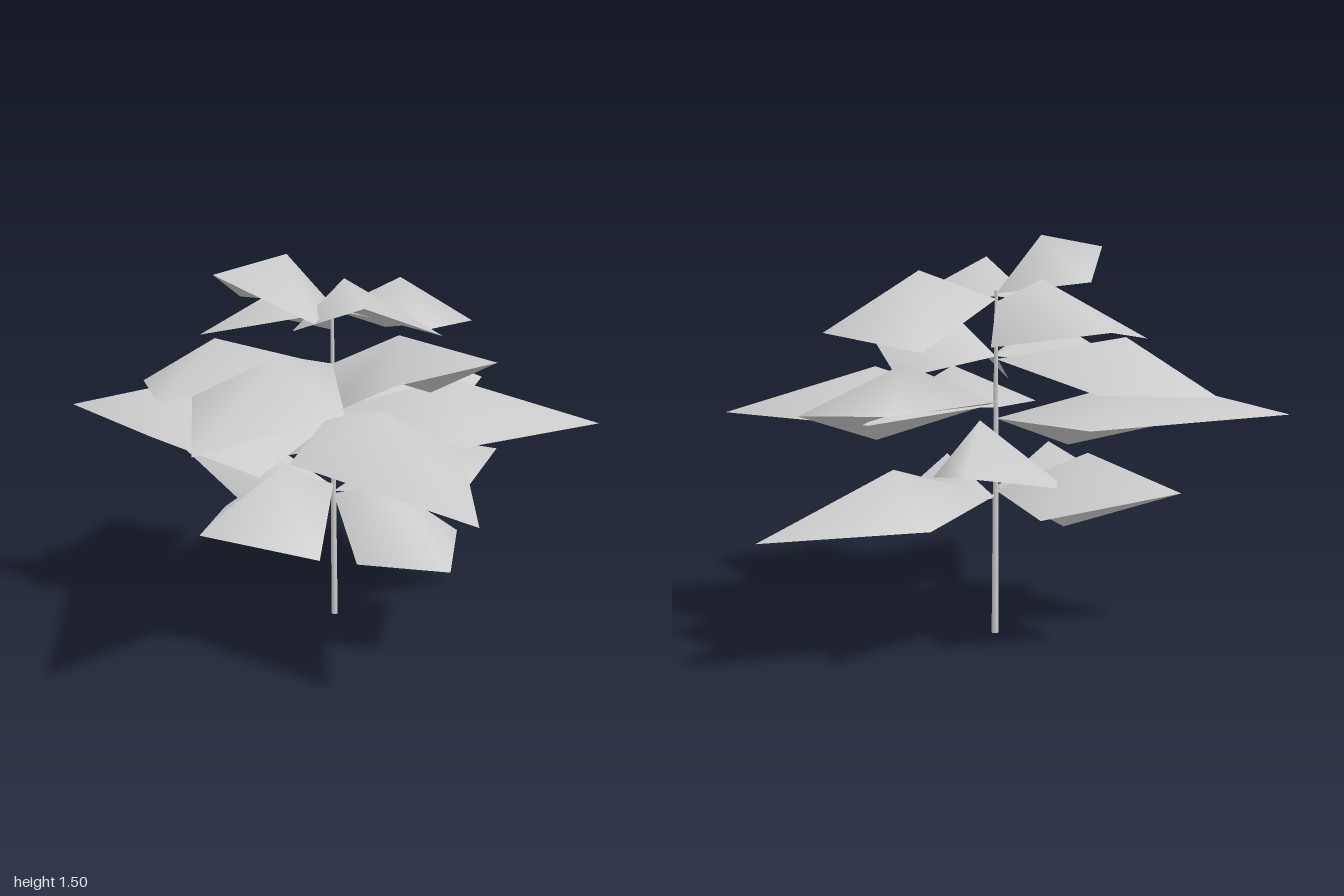
import * as THREE from 'three';

const STEM_X = -0.025, STEM_Z = -0.2;

const foliage = new THREE.MeshStandardMaterial({ color: 0xcccccc, side: THREE.DoubleSide });
foliage.name = 'pale grey';

// A leaf is a shallow tent: a raised midrib point fanned out to its stem joint and outer corners.
function leaf(name, stemY, mid, ...corners) {
  const angle = p => Math.atan2(p[0] - mid[0], p[2] - mid[2]);
  const rim = [[STEM_X, stemY, STEM_Z], ...corners].sort((a, b) => angle(a) - angle(b));
  const index = [];
  rim.forEach((_, i) => index.push(0, i + 1, ((i + 1) % rim.length) + 1));
  const geometry = new THREE.BufferGeometry();
  geometry.setAttribute('position', new THREE.Float32BufferAttribute([mid, ...rim].flat(), 3));
  geometry.setIndex(index);
  geometry.computeVertexNormals();
  const mesh = new THREE.Mesh(geometry, foliage);
  mesh.name = name;
  return mesh;
}

export function createModel() {
  const model = new THREE.Group();
  model.name = 'leafyPlant';

  // Thin upright stem
  const stem = new THREE.Mesh(new THREE.CylinderGeometry(0.007, 0.013, 1.29, 8), foliage);
  stem.name = 'stem';
  stem.position.set(STEM_X, 0.645, STEM_Z);
  model.add(stem);

  // Crown leaves
  const crown = new THREE.Group();
  crown.name = 'crownLeaves';
  crown.add(
    leaf('crownLeafLeft', 1.26, [0.28, 1.365, -0.16], [0.26, 1.19, 0.05], [0.65, 1.155, -0.14], [0.46, 1.1, -0.48]),
    leaf('crownLeafBack', 1.25, [-0.01, 1.335, -0.5], [0.21, 1.11, -0.51], [-0.01, 1.17, -0.87], [-0.34, 1.13, -0.67]),
    leaf('crownLeafRight', 1.28, [-0.26, 1.495, -0.155], [-0.33, 1.32, -0.37], [-0.61, 1.455, -0.09], [-0.39, 1.3, 0.2]),
    leaf('crownLeafFront', 1.27, [-0.13, 1.415, 0.02], [0.06, 1.23, 0.35], [-0.3, 1.365, 0.36], [-0.34, 1.24, -0.01]));

  // Upper leaves
  const upper = new THREE.Group();
  upper.name = 'upperLeaves';
  upper.add(
    leaf('upperLeafFront', 1.05, [-0.085, 1.24, 0.28], [0.22, 0.955, 0.1], [0.13, 1.16, 0.555], [-0.305, 1.13, 0.52], [-0.28, 0.93, 0.08]),
    leaf('upperLeafRight', 1.05, [-0.45, 1.18, 0.07], [-0.61, 0.99, -0.27], [-1, 0.99, 0.41], [-0.35, 1, 0.315]),
    leaf('upperLeafBack', 1.04, [-0.33, 1.13, -0.57], [-0.08, 0.95, -0.72], [-0.5, 0.93, -0.865], [-0.67, 0.945, -0.42]));

  // Middle leaves
  const middle = new THREE.Group();
  middle.name = 'middleLeaves';
  middle.add(
    leaf('middleLeafLeft', 0.88, [0.42, 1.05, -0.29], [0.38, 0.75, -0.02], [0.78, 0.885, -0.21], [0.655, 0.92, -0.62]),
    leaf('middleLeafFrontLeft', 0.87, [0.3, 1.005, 0.13], [0.17, 0.8, 0.35], [0.76, 0.825, 0.48], [0.47, 0.82, -0.12]),
    leaf('middleLeafFront', 0.86, [-0.155, 0.975, 0.3], [0.1, 0.81, 0.42], [-0.28, 0.75, 0.92], [-0.49, 0.82, 0.18]),
    leaf('middleLeafBackRight', 0.82, [-0.42, 0.98, -0.57], [-0.1, 0.82, -0.66], [-0.785, 0.86, -0.93], [-0.67, 0.8, -0.5], [-0.42, 0.68, -0.13]),
    leaf('middleLeafBackLeft', 0.71, [0.22, 0.86, -0.46], [0.26, 0.63, -0.22], [0.48, 0.73, -0.76], [-0.1, 0.6, -0.54]));

  // Lowest leaves
  const lower = new THREE.Group();
  lower.name = 'lowerLeaves';
  lower.add(
    leaf('lowerLeafLeft', 0.53, [0.43, 0.675, -0.23], [0.43, 0.51, 0.08], [0.99, 0.5, -0.32], [0.43, 0.5, -0.48]),
    leaf('lowerLeafBack', 0.55, [-0.18, 0.725, -0.55], [0.1, 0.53, -0.65], [-0.33, 0.615, -0.87], [-0.27, 0.4, -0.3]),
    leaf('lowerLeafRight', 0.56, [-0.33, 0.7, -0.12], [-0.42, 0.5, -0.38], [-0.67, 0.5, -0.15], [-0.38, 0.44, 0.2]),
    leaf('lowerLeafFront', 0.52, [-0.02, 0.645, 0.13], [0.3, 0.4, 0.18], [0, 0.39, 0.48], [-0.25, 0.41, 0.25]));

  model.add(crown, upper, middle, lower);
  return model;
}
